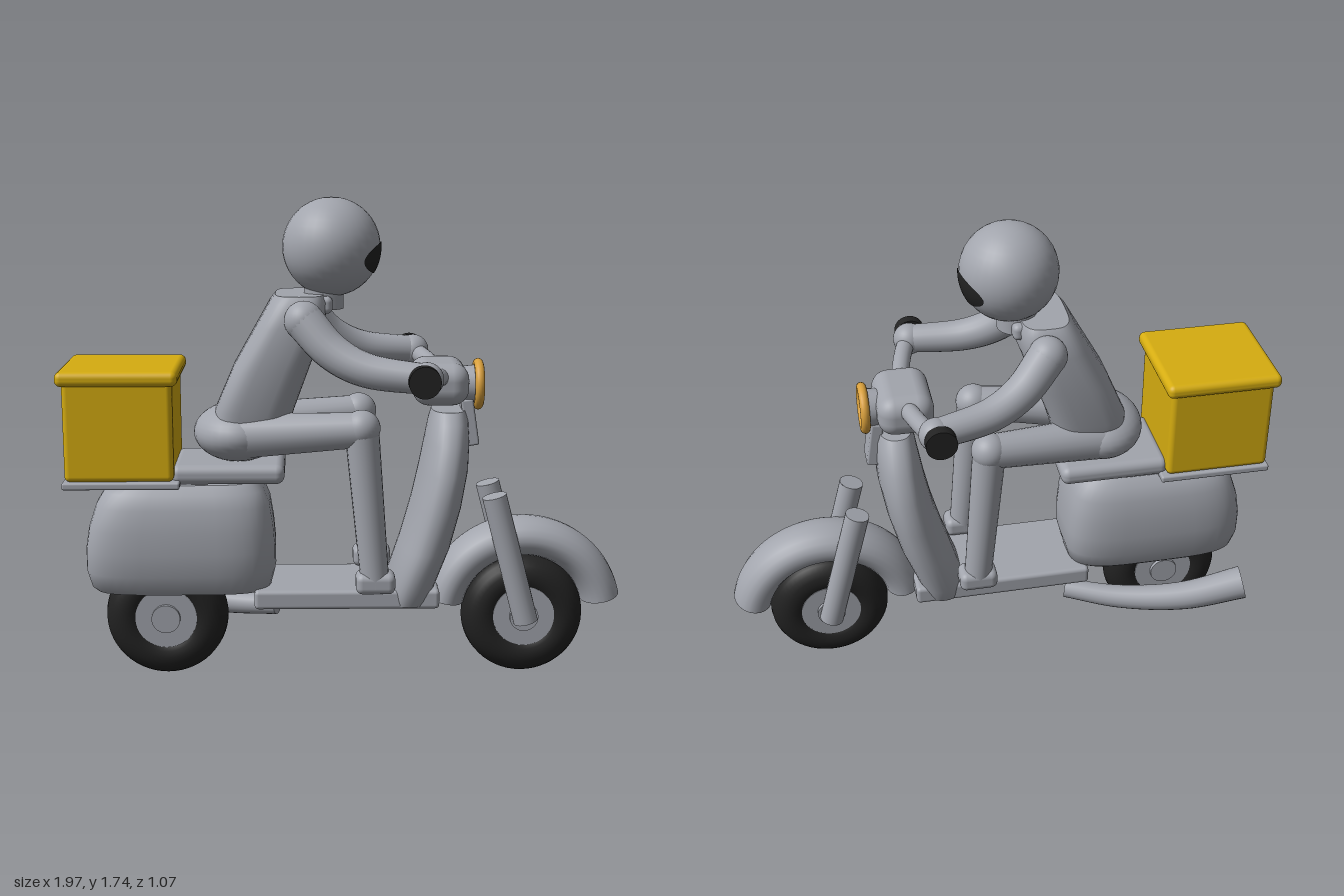
import * as THREE from 'three';
import { toCreasedNormals } from 'three/addons/utils/BufferGeometryUtils.js';
import { RoundedBoxGeometry } from 'three/addons/geometries/RoundedBoxGeometry.js';

const V = (x, y, z) => new THREE.Vector3(x, y, z);
const material = (name, color, side = THREE.FrontSide) => {
  const m = new THREE.MeshStandardMaterial({ color, side });
  m.name = name;
  return m;
};

// Closed body from rounded cross-sections: [y, centreX, halfLength, halfWidth]
function loft(rings, power) {
  const N = 40, pos = [], idx = [];
  const curve = (c) => Math.sign(c) * Math.abs(c) ** (2 / power);
  rings.forEach(([y, cx, a, b]) => {
    for (let j = 0; j < N; j++) {
      const t = (j / N) * Math.PI * 2;
      pos.push(cx + a * curve(Math.cos(t)), y, b * curve(Math.sin(t)));
    }
  });
  const last = (rings.length - 1) * N, low = pos.length / 3, high = low + 1;
  const end = rings[rings.length - 1];
  pos.push(rings[0][1], rings[0][0], 0, end[1], end[0], 0);
  for (let j = 0; j < N; j++) {
    const k = (j + 1) % N;
    for (let r = 0; r < last; r += N) idx.push(r + j, r + N + j, r + k, r + k, r + N + j, r + N + k);
    idx.push(low, j, k, high, last + k, last + j);
  }
  const g = new THREE.BufferGeometry();
  g.setAttribute('position', new THREE.Float32BufferAttribute(pos, 3));
  g.setIndex(idx);
  return toCreasedNormals(g, 0.7);
}

export function createModel() {
  const model = new THREE.Group();
  model.name = 'scooterWithRider';
  const scooter = new THREE.Group(); // built facing +x, then turned
  scooter.name = 'scooter';
  scooter.rotation.y = -Math.PI / 10;
  scooter.position.set(-0.017, 0, 0.052);
  model.add(scooter);

  const grey = material('bodyGrey', 0xa2a5ad, THREE.DoubleSide);
  const black = material('rubberBlack', 0x222222);
  const yellow = material('boxYellow', 0xd6ad10);
  const amber = material('lampAmber', 0xd9a03c);

  const add = (name, geo, mat, x = 0, y = 0, z = 0, parent = scooter) => {
    const m = new THREE.Mesh(geo, mat);
    m.name = name;
    m.position.set(x, y, z);
    parent.add(m);
    return m;
  };
  const box = (name, mat, w, h, d, r, x, y, z = 0) =>
    add(name, new RoundedBoxGeometry(w, h, d, 4, r), mat, x, y, z);
  const ball = (name, r, x, y, z = 0) =>
    add(name, new THREE.SphereGeometry(r, 32, 20), grey, x, y, z);
  const disc = (name, mat, r, w, x, y, z = 0) => {
    const m = add(name, new THREE.CylinderGeometry(r, r, w, 36), mat, x, y, z);
    m.rotation.x = Math.PI / 2;
    return m;
  };
  // Tapered tube along a path, with flat ends
  const tube = (name, pts, r0, r1 = r0) => {
    const S = 24, R = 20, path = new THREE.CatmullRomCurve3(pts);
    const g = new THREE.TubeGeometry(path, S, 1, R);
    const p = g.attributes.position, v = V(0, 0, 0);
    for (let i = 0; i < p.count; i++) {
      const t = Math.floor(i / (R + 1)) / S, c = path.getPointAt(t);
      v.fromBufferAttribute(p, i).sub(c).multiplyScalar(r0 + (r1 - r0) * t).add(c);
      p.setXYZ(i, v.x, v.y, v.z);
    }
    add(name, g, grey);
    [[0, r0, -1], [1, r1, 1]].forEach(([t, r, dir]) => {
      const c = path.getPointAt(t);
      const cap = add(name + 'End', new THREE.CircleGeometry(r, R), grey, c.x, c.y, c.z);
      cap.quaternion.setFromUnitVectors(V(0, 0, 1), path.getTangentAt(t).multiplyScalar(dir));
    });
  };

  // Wheels
  for (const [name, x] of [['front', 0.682], ['rear', -0.62]]) {
    add(name + 'Tyre', new THREE.TorusGeometry(0.147, 0.076, 20, 56), black, x, 0.224, 0);
    disc(name + 'Rim', grey, 0.112, 0.142, x, 0.228);
    disc(name + 'HubCap', grey, 0.052, 0.17, x, 0.228);
  }

  // Front fender: flattened arc with flat ends
  const fender = new THREE.Group();
  fender.name = 'frontFender';
  fender.position.set(0.682, 0.225, 0);
  fender.rotation.z = 0.22;
  fender.scale.z = 1.4;
  scooter.add(fender);
  const arc = 2.72;
  add('fenderArc', new THREE.TorusGeometry(0.292, 0.072, 20, 48, arc), grey, 0, 0, 0, fender);
  for (const [a, dir] of [[0, 1], [arc, -1]]) {
    const cap = add('fenderEnd', new THREE.CircleGeometry(0.072, 24), grey,
      0.292 * Math.cos(a), 0.292 * Math.sin(a), 0, fender);
    cap.rotation.set(dir * Math.PI / 2, 0, a, 'ZYX');
  }

  // Body shells
  add('rearBody', loft([
    [0.345, -0.56, 0.31, 0.16], [0.36, -0.56, 0.325, 0.175], [0.42, -0.56, 0.34, 0.195],
    [0.5, -0.56, 0.34, 0.2], [0.58, -0.557, 0.33, 0.197], [0.66, -0.55, 0.31, 0.185],
    [0.71, -0.545, 0.285, 0.165], [0.74, -0.54, 0.25, 0.135]], 4), grey);
  add('legShield', loft([
    [0.3, 0.26, 0.08, 0.18], [0.36, 0.27, 0.088, 0.205], [0.5, 0.32, 0.09, 0.22],
    [0.65, 0.36, 0.088, 0.225], [0.78, 0.385, 0.085, 0.215], [0.88, 0.396, 0.078, 0.18],
    [0.95, 0.4, 0.07, 0.14], [0.99, 0.4, 0.06, 0.1]], 2.4), grey);
  box('floorboard', grey, 0.66, 0.07, 0.34, 0.015, 0.035, 0.325);
  box('seat', grey, 0.4, 0.07, 0.32, 0.03, -0.385, 0.78);

  // Delivery box
  box('rack', grey, 0.41, 0.026, 0.39, 0.008, -0.755, 0.752);
  box('deliveryBox', yellow, 0.38, 0.36, 0.38, 0.02, -0.76, 0.945);
  box('boxLid', yellow, 0.42, 0.052, 0.42, 0.022, -0.76, 1.13);

  // Steering head and headlamp
  box('steeringHead', grey, 0.2, 0.15, 0.28, 0.06, 0.365, 1.09);
  box('steeringCover', grey, 0.045, 0.17, 0.1, 0.008, 0.475, 0.945).rotation.z = 0.15;
  const housing = add('lampHousing', new THREE.CylinderGeometry(0.07, 0.06, 0.1, 32), grey, 0.455, 1.077, 0);
  housing.rotation.z = -Math.PI / 2;
  add('lampRing', new THREE.TorusGeometry(0.075, 0.017, 14, 40), amber, 0.505, 1.077, 0).rotation.y = Math.PI / 2;

  // Handlebar and exhaust
  tube('handlebar', [V(0.29, 1.15, -0.37), V(0.34, 1.13, -0.2), V(0.37, 1.11, 0),
    V(0.34, 1.13, 0.2), V(0.29, 1.15, 0.37)], 0.032);
  tube('exhaust', [V(-0.22, 0.22, -0.1), V(-0.42, 0.21, -0.18), V(-0.65, 0.235, -0.25),
    V(-0.87, 0.29, -0.28)], 0.036, 0.062);

  // Rider trunk
  add('torso', loft([
    [0.93, -0.3, 0.13, 0.15], [1.0, -0.29, 0.14, 0.165], [1.15, -0.23, 0.135, 0.175],
    [1.3, -0.16, 0.12, 0.18], [1.38, -0.135, 0.1, 0.165], [1.405, -0.13, 0.085, 0.145]], 3.5), grey);
  ball('hips', 1, -0.35, 0.91).scale.set(0.16, 0.105, 0.19);
  add('neck', new THREE.CylinderGeometry(0.07, 0.07, 0.1, 28), grey, -0.045, 1.4, 0);
  box('collar', grey, 0.15, 0.06, 0.2, 0.02, -0.09, 1.37);

  // Helmet and visor
  ball('helmet', 0.172, -0.018, 1.565);
  const visor = new THREE.RingGeometry(0.001, 1, 40, 10);
  const p = visor.attributes.position;
  for (let i = 0; i < p.count; i++) {
    const z = -p.getX(i) * 0.13, y = p.getY(i) * 0.057 - 0.035;
    p.setXYZ(i, Math.sqrt(0.175 ** 2 - y * y - z * z), y, z);
  }
  visor.computeVertexNormals();
  add('visor', visor, black, -0.018, 1.565, 0);

  // Paired parts
  for (const s of [-1, 1]) {
    tube('forkLeg', [V(0.56, 0.69, s * 0.103), V(0.685, 0.22, s * 0.103)], 0.044);
    disc('gripEnd', black, 0.054, 0.04, 0.285, 1.15, s * 0.378);
    ball('hand', 0.058, 0.295, 1.15, s * 0.325);
    ball('shoulder', 0.068, -0.115, 1.33, s * 0.19);
    tube('arm', [V(-0.115, 1.33, s * 0.19), V(-0.02, 1.23, s * 0.235),
      V(0.09, 1.175, s * 0.275), V(0.295, 1.15, s * 0.325)], 0.068, 0.052);
    tube('thigh', [V(-0.35, 0.91, s * 0.1), V(0.085, 0.945, s * 0.165)], 0.08, 0.062);
    ball('knee', 0.065, 0.085, 0.95, s * 0.165);
    tube('shin', [V(0.085, 0.95, s * 0.165), V(0.135, 0.38, s * 0.17)], 0.06, 0.05);
    box('foot', grey, 0.14, 0.075, 0.1, 0.025, 0.135, 0.395, s * 0.17);
  }
  return model;
}
